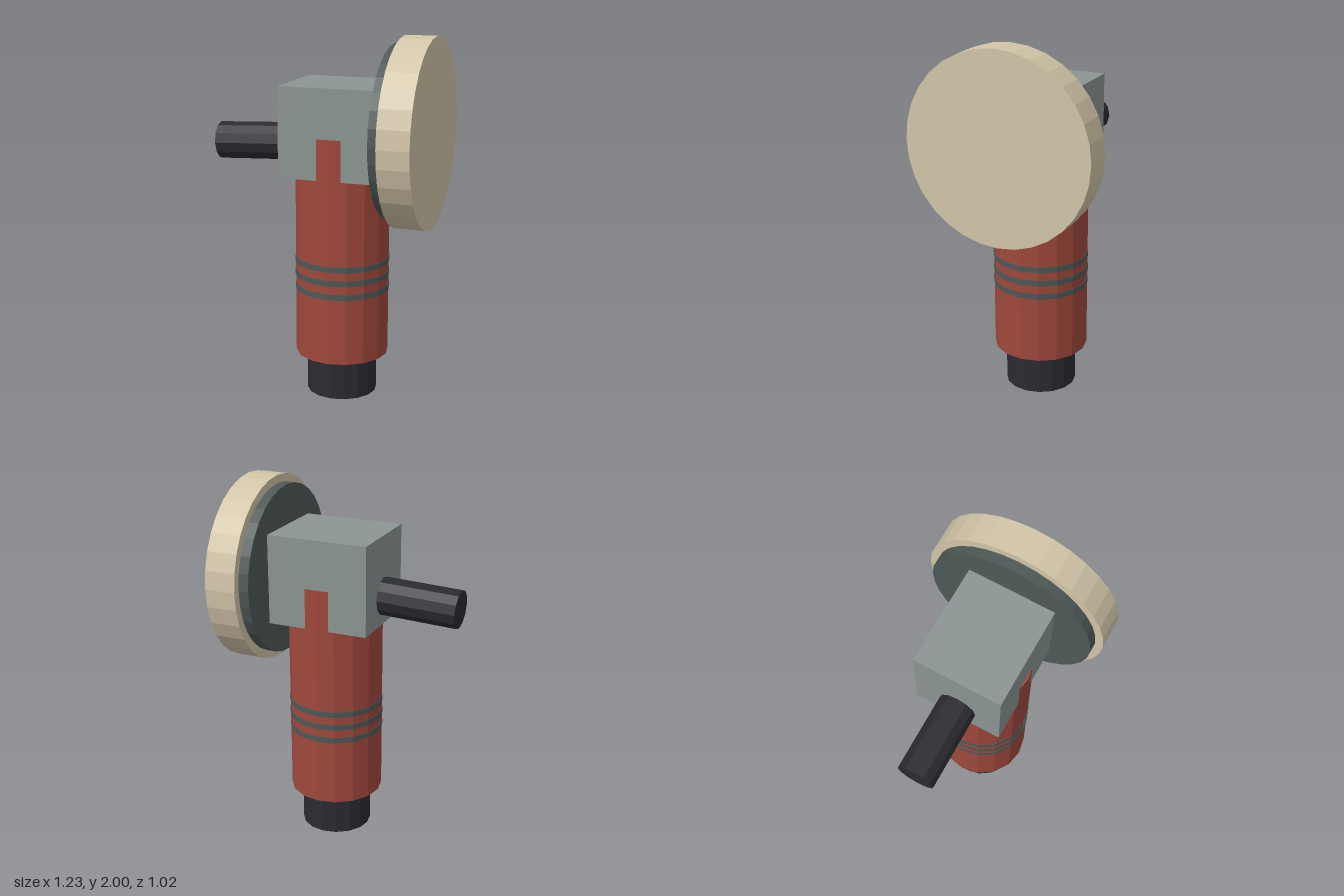
import * as THREE from 'three';

const material = (name, color) => {
  const m = new THREE.MeshStandardMaterial({ color });
  m.name = name;
  return m;
};

export function createModel() {
  const group = new THREE.Group();
  group.name = 'hammerTool';

  const red = material('red', 0xa0483c);
  const grey = material('grey', 0x8b9593);
  const slate = material('slate', 0x4d5857);
  const black = material('black', 0x2b2a32);
  const cream = material('cream', 0xd2c5a8);

  const add = (name, geometry, mat, x, y) => {
    const mesh = new THREE.Mesh(geometry, mat);
    mesh.name = name;
    mesh.position.set(x, y, 0);
    group.add(mesh);
    return mesh;
  };

  // Faceted cylinder: separate flat normals for every side
  const facetedCylinder = (r, h, sides) => {
    const g = new THREE.CylinderGeometry(r, r, h, sides).toNonIndexed();
    g.computeVertexNormals();
    return g;
  };

  const axisX = 0.103;

  // Upright grip, standing on a narrower foot
  add('foot', facetedCylinder(0.195, 0.26, 16), black, axisX, 0.13);
  add('grip', facetedCylinder(0.258, 1.24, 16), red, axisX, 0.85);

  // Three thin bands around the grip
  for (const y of [0.615, 0.692, 0.769]) {
    add('gripBand', facetedCylinder(0.261, 0.032, 16), slate, axisX, y);
  }

  // Head block; the grip shows slightly through its front and back
  add('headBlock', new THREE.BoxGeometry(0.566, 0.49, 0.489), grey, 0.104, 1.493);

  // Round striking face with its backing plate
  const backing = add('backingPlate', facetedCylinder(0.466, 0.06, 32), slate, 0.413, 1.49);
  const pad = add('facePad', facetedCylinder(0.511, 0.172, 32), cream, 0.525, 1.49);
  backing.rotation.z = pad.rotation.z = Math.PI / 2;

  // Slightly drooping rod on the opposite side
  const rod = add('rearRod', facetedCylinder(0.104, 0.5, 12), black, -0.36, 1.397);
  rod.rotation.z = Math.PI / 2 + 0.045;

  return group;
}
